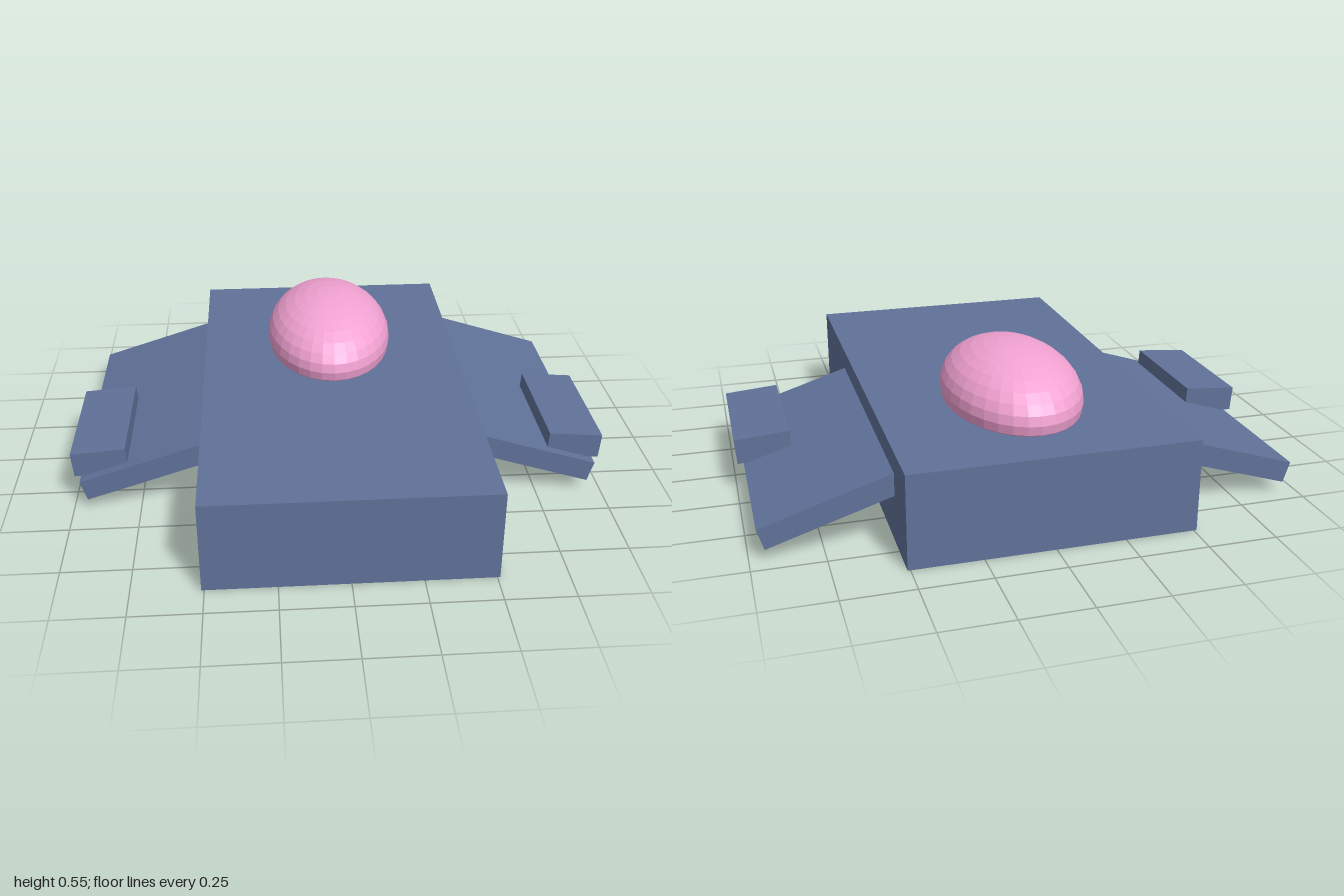
import * as THREE from 'three';

export function createModel() {
  const model = new THREE.Group();
  const blue = new THREE.MeshStandardMaterial({ color: 0x607299, flatShading: true });
  const pink = new THREE.MeshStandardMaterial({ color: 0xf2a2d2, flatShading: true });

  const addBox = (name, size, position, tilt = 0) => {
    const mesh = new THREE.Mesh(new THREE.BoxGeometry(...size), blue);
    mesh.name = name;
    mesh.position.set(...position);
    mesh.rotation.z = tilt;
    model.add(mesh);
  };

  // Main slab
  addBox('body', [1.02, 0.34, 1.76], [0, 0.17, 0]);

  // Drooping wings, rooted inside the body, each with a pod near its tip
  for (const [side, s] of [['left', 1], ['right', -1]]) {
    addBox(`${side}Wing`, [0.56, 0.08, 1.055], [s * 0.691, 0.162, -0.163], -s * 0.306);
    addBox(`${side}Pod`, [0.203, 0.095, 0.49], [s * 0.895, 0.174, 0.08], -s * 0.08);
  }

  // Faceted oval canopy sunk into the rear half of the deck
  const canopy = new THREE.Mesh(new THREE.SphereGeometry(1, 32, 16), pink);
  canopy.name = 'canopy';
  canopy.scale.set(0.25, 0.176, 0.388);
  canopy.position.set(0, 0.378, -0.325);
  model.add(canopy);

  return model;
}
